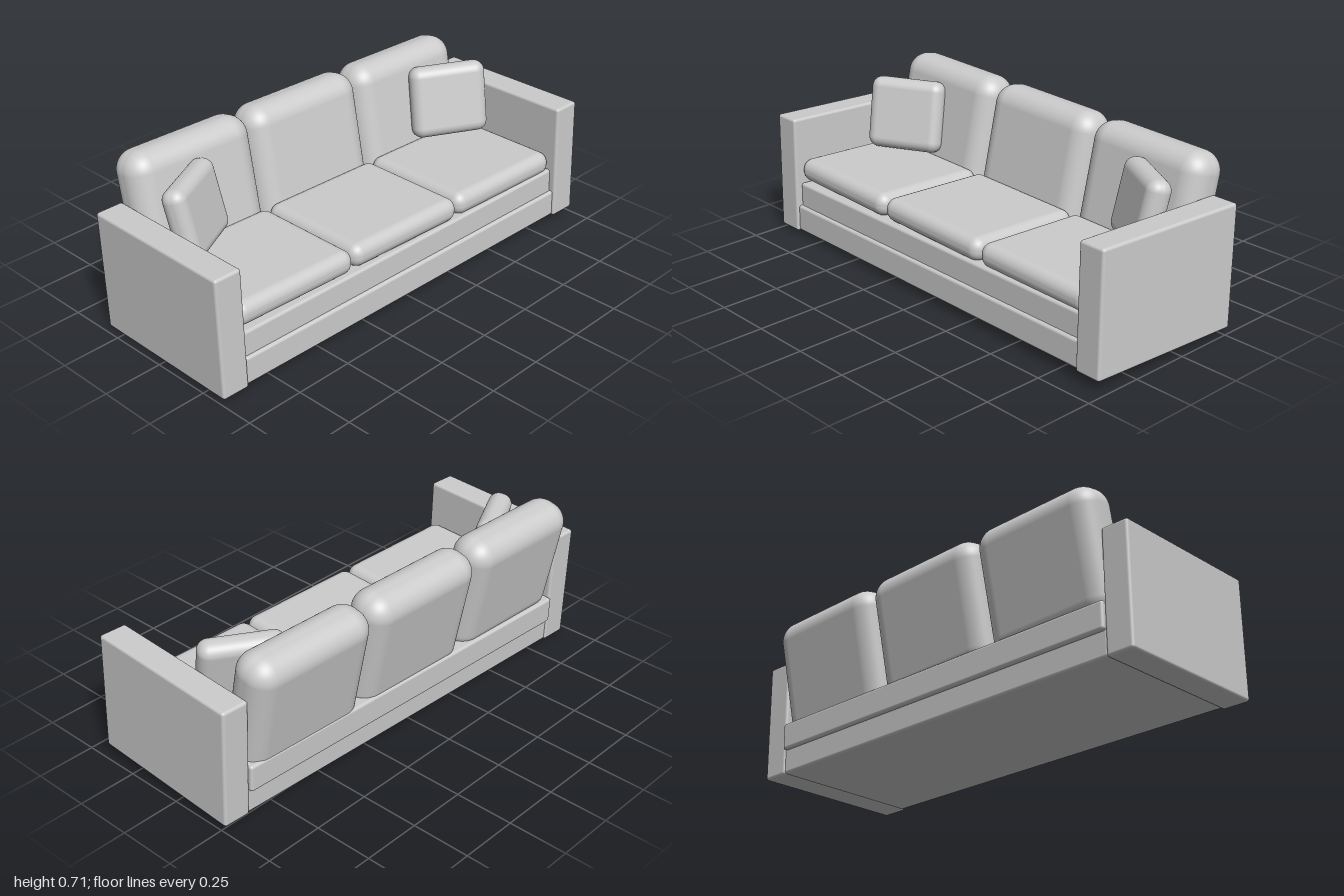
import * as THREE from 'three';
import { RoundedBoxGeometry } from 'three/addons/geometries/RoundedBoxGeometry.js';

const material = new THREE.MeshStandardMaterial({ color: 0xcccccc });

// Rounded block: size [w, h, d], centre [x, y, z], rotation [x, y, z]
function block(parent, name, size, radius, centre, rotation = [0, 0, 0], segments = 6) {
  const mesh = new THREE.Mesh(new RoundedBoxGeometry(...size, segments, radius), material);
  mesh.name = name;
  mesh.position.set(...centre);
  mesh.rotation.set(...rotation, 'YXZ');
  parent.add(mesh);
  return mesh;
}

export function createModel() {
  const model = new THREE.Group();
  model.name = 'sofa';

  // The whole sofa stands very slightly askew
  const sofa = new THREE.Group();
  sofa.name = 'sofaBody';
  sofa.rotation.set(-0.026, -0.034, 0.011);
  sofa.position.set(0.003, 0.022, 0.0436);
  model.add(sofa);

  // Slab arms
  for (const side of [-1, 1]) {
    block(sofa, side > 0 ? 'leftArm' : 'rightArm', [0.12, 0.508, 0.7], 0.012, [side * 0.926, 0.254, 0], [0, 0, 0], 3);
  }

  // Plinth and the seat frame above it
  block(sofa, 'base', [1.745, 0.115, 0.685], 0.012, [0, 0.0605, -0.003], [0, 0, 0], 3);
  block(sofa, 'seatFrame', [1.735, 0.115, 0.688], 0.012, [0, 0.162, -0.019], [0, 0, 0], 3);

  // Three seat and three back cushions, sagging a little towards +x
  for (const i of [-1, 0, 1]) {
    block(sofa, 'seatCushion', [0.58, 0.1, 0.52], 0.046,
      [i * 0.582, 0.264 - i * 0.011, 0.062 - i * 0.003], [0, 0, -0.02]);
    block(sofa, 'backCushion', [0.58, 0.53, 0.19], 0.085,
      [i * 0.58, 0.425 - i * 0.014, -0.297 - i * 0.003], [-0.185, 0, -0.02], 8);
  }

  // Throw pillows turned into the corners and leaning back
  block(sofa, 'throwPillow', [0.335, 0.31, 0.1], 0.045, [-0.69, 0.484, -0.124], [-0.2, 0.5, 0]);
  block(sofa, 'throwPillow', [0.335, 0.31, 0.1], 0.045, [0.705, 0.464, -0.128], [-0.2, -0.5, 0]);

  return model;
}
